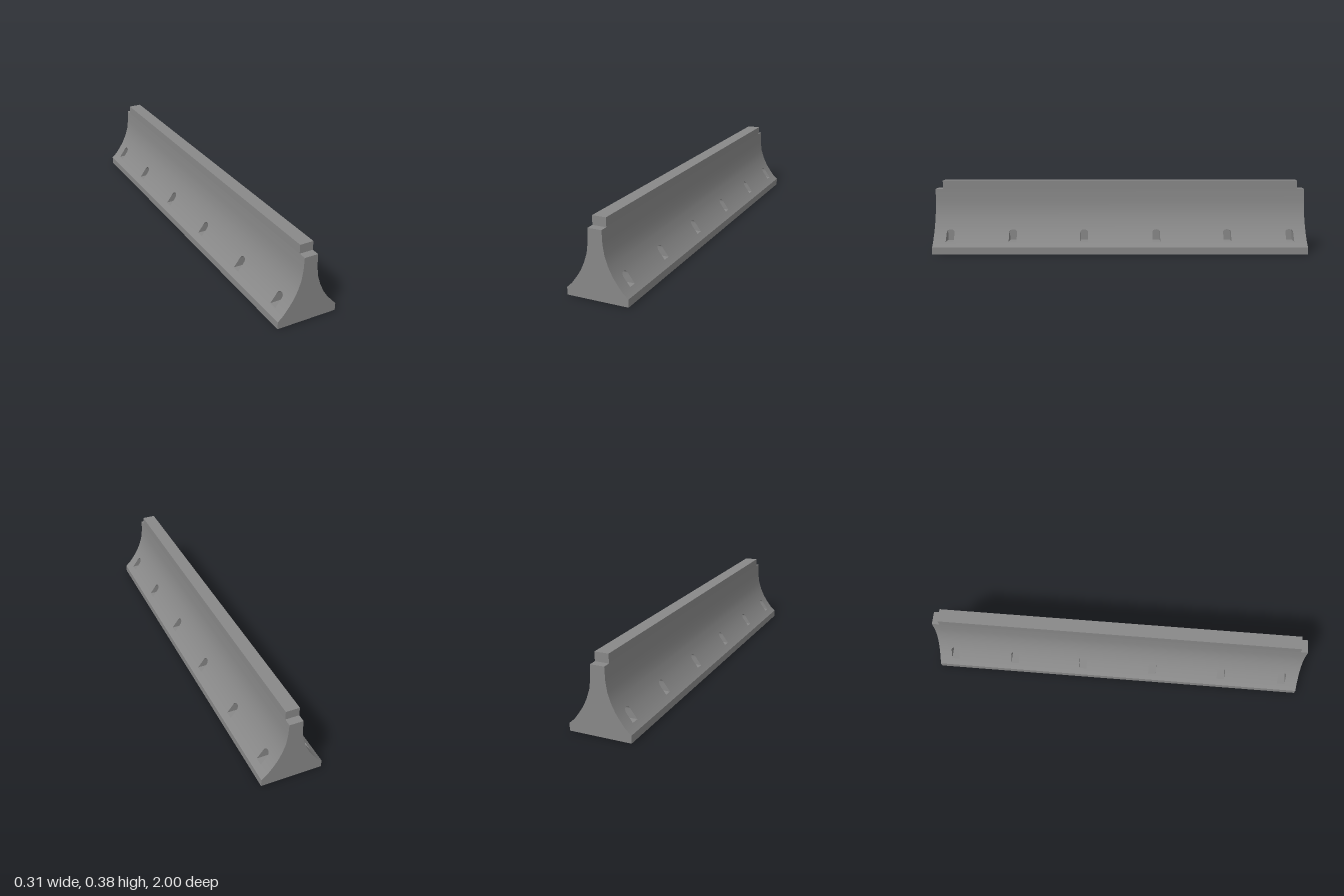
import * as THREE from 'three';
import { mergeGeometries, toCreasedNormals } from 'three/addons/utils/BufferGeometryUtils.js';

// Flank curve as [half width, height], from the foot up to the ledge
const CURVE = [
  [0.157, 0.038], [0.129, 0.064], [0.102, 0.1], [0.082, 0.13],
  [0.061, 0.173], [0.045, 0.221], [0.037, 0.275], [0.035, 0.339],
];
const TOP = 0.384, HALF = 1, CREST_HALF = 0.96;
const SLOTS = [-0.912, -0.576, -0.194, 0.194, 0.576, 0.912];
const SLOT_HALF = 0.021, ARCH_Y = 0.11, ARCH_RISE = 0.015, SLOT_BACK = 0.062;
const FLOOR_Y = CURVE[1][1], MID_Y = CURVE[2][1];

// Smooth normals at the curve points
const NORMALS = CURVE.map((p, i) => {
  const a = CURVE[Math.max(i - 1, 0)], b = CURVE[Math.min(i + 1, CURVE.length - 1)];
  return new THREE.Vector2(b[1] - a[1], a[0] - b[0]).normalize();
});

// Half width and normal of the flank at a height
function flankAt(y) {
  let i = 0;
  while (i < CURVE.length - 2 && y > CURVE[i + 1][1]) i++;
  const [a, b] = [CURVE[i], CURVE[i + 1]];
  const t = (y - a[1]) / (b[1] - a[1]);
  return { x: a[0] + (b[0] - a[0]) * t, n: NORMALS[i].clone().lerp(NORMALS[i + 1], t).normalize() };
}

const shapeOf = (pts) => new THREE.Shape(pts.map(([u, v]) => new THREE.Vector2(u, v)));
const rect = (u0, u1, v0, v1) => [[u0, v0], [u1, v0], [u1, v1], [u0, v1]];

// Lays a flat outline (u = -z, v = y) onto the curved flank
function ontoFlank(pts) {
  const geo = new THREE.ShapeGeometry(shapeOf(pts));
  const pos = geo.attributes.position, nor = geo.attributes.normal;
  for (let i = 0; i < pos.count; i++) {
    const u = pos.getX(i), y = pos.getY(i), { x, n } = flankAt(y);
    pos.setXYZ(i, x, y, -u);
    nor.setXYZ(i, n.x, n.y, 0);
  }
  return geo;
}

// Left-to-right points over the arched head of a slot
function archPoints(u) {
  const pts = [[u - SLOT_HALF, MID_Y]];
  for (let i = 0; i <= 10; i++) {
    const a = Math.PI * (1 - i / 10);
    pts.push([u + SLOT_HALF * Math.cos(a), ARCH_Y + ARCH_RISE * Math.sin(a)]);
  }
  pts.push([u + SLOT_HALF, MID_Y]);
  return pts;
}

function flankGeometry() {
  const parts = [];
  for (let i = 0; i < CURVE.length - 1; i++) {
    const y0 = CURVE[i][1], y1 = CURVE[i + 1][1];
    if (i === 1) { // panels between the slots
      const edges = [-HALF, ...SLOTS.flatMap((u) => [u - SLOT_HALF, u + SLOT_HALF]), HALF];
      for (let k = 0; k < edges.length; k += 2) parts.push(ontoFlank(rect(edges[k], edges[k + 1], y0, y1)));
    } else if (i === 2) { // strip notched by the arches
      parts.push(ontoFlank([[-HALF, y0], ...SLOTS.flatMap(archPoints), [HALF, y0], [HALF, y1], [-HALF, y1]]));
    } else parts.push(ontoFlank(rect(-HALF, HALF, y0, y1)));
  }
  return mergeGeometries(parts);
}

// Recess with level floor, arched walls and upright back
function slotGeometry() {
  const ring = [[-SLOT_HALF, FLOOR_Y], ...archPoints(0), [SLOT_HALF, FLOOR_Y]];
  const verts = [];
  ring.forEach(([u, v], i) => {
    const [u2, v2] = ring[(i + 1) % ring.length];
    const a = [flankAt(v).x, v, -u], b = [flankAt(v2).x, v2, -u2];
    const ia = [SLOT_BACK, v, -u], ib = [SLOT_BACK, v2, -u2];
    verts.push(...a, ...ib, ...b, ...a, ...ia, ...ib);
  });
  const walls = new THREE.BufferGeometry();
  walls.setAttribute('position', new THREE.Float32BufferAttribute(verts, 3));
  const back = new THREE.ShapeGeometry(shapeOf(ring)).toNonIndexed();
  back.deleteAttribute('uv');
  back.deleteAttribute('normal');
  back.rotateY(Math.PI / 2).translate(SLOT_BACK, 0, 0);
  return toCreasedNormals(mergeGeometries([walls, back]), 0.6);
}

export function createModel() {
  const model = new THREE.Group();
  const material = new THREE.MeshStandardMaterial({ color: 0x888888 });
  const add = (parent, name, geo) => {
    const mesh = new THREE.Mesh(geo, material);
    mesh.name = name;
    parent.add(mesh);
    return mesh;
  };
  const [footX, footY] = CURVE[0];
  const [neckX, neckY] = CURVE[CURVE.length - 1];

  // Two matching long sides
  const flank = flankGeometry(), slot = slotGeometry();
  const footSide = new THREE.PlaneGeometry(2 * HALF, footY).rotateY(Math.PI / 2).translate(footX, footY / 2, 0);
  for (const [name, turn] of [['leftSide', 0], ['rightSide', Math.PI]]) {
    const side = new THREE.Group();
    side.name = name;
    side.rotation.y = turn;
    add(side, 'curvedFlank', flank);
    add(side, 'footEdge', footSide);
    SLOTS.forEach((z) => { add(side, 'drainSlot', slot).position.z = z; });
    model.add(side);
  }

  // End faces and the ledges above them
  const outline = [[-footX, 0], [footX, 0], ...CURVE, ...CURVE.map(([x, y]) => [-x, y]).reverse()];
  const endFace = new THREE.ShapeGeometry(shapeOf(outline)).translate(0, 0, HALF);
  const step = HALF - CREST_HALF;
  const ledge = new THREE.PlaneGeometry(2 * neckX, step).rotateX(-Math.PI / 2)
    .translate(0, neckY, HALF - step / 2);
  for (const [name, turn] of [['front', 0], ['back', Math.PI]]) {
    add(model, name + 'EndFace', endFace).rotation.y = turn;
    add(model, name + 'Ledge', ledge).rotation.y = turn;
  }

  // Underside and raised crest
  add(model, 'underside', new THREE.PlaneGeometry(2 * footX, 2 * HALF).rotateX(Math.PI / 2));
  add(model, 'crest', new THREE.BoxGeometry(2 * neckX, TOP - neckY, 2 * CREST_HALF))
    .position.y = (TOP + neckY) / 2;
  return model;
}
